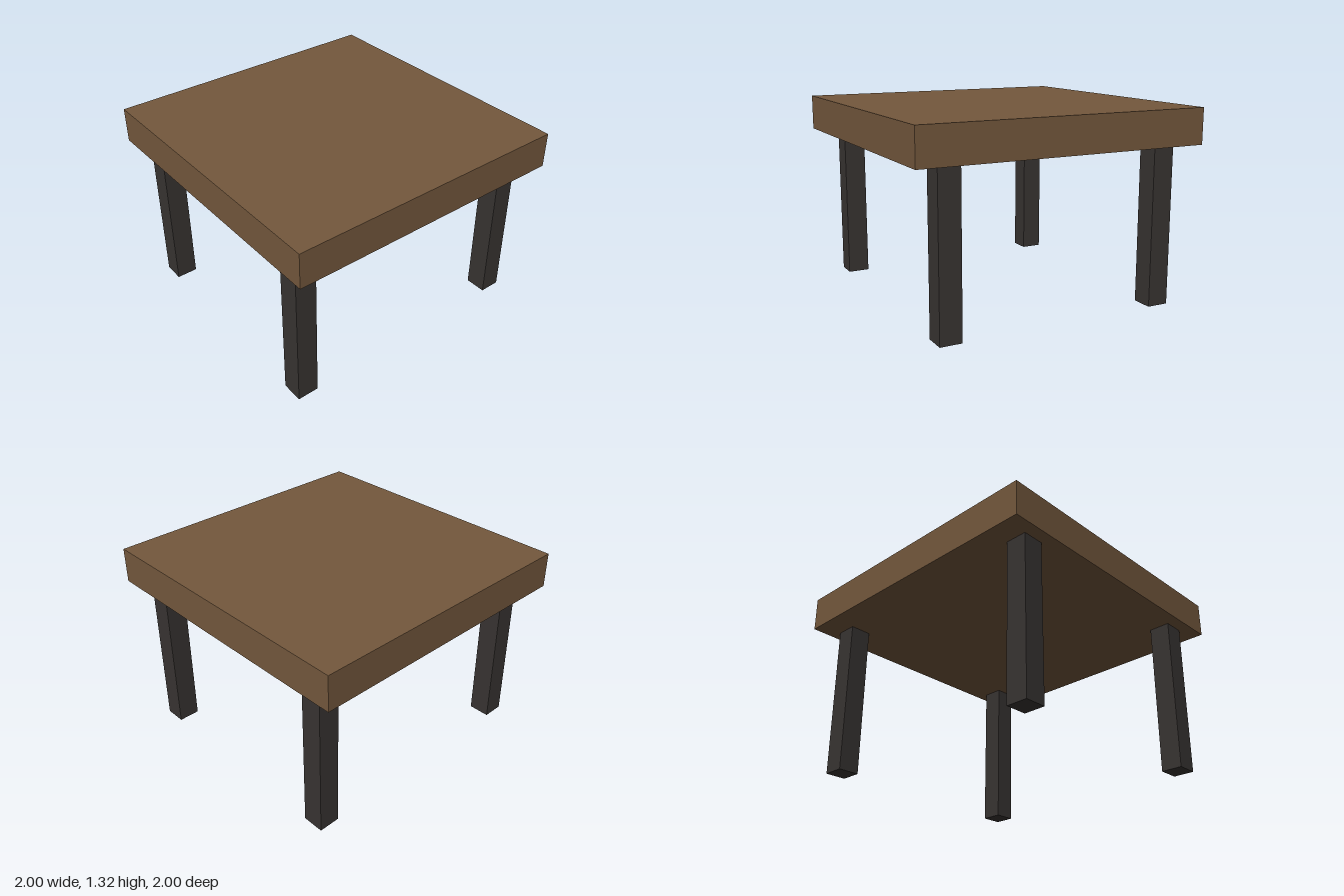
import * as THREE from 'three';

const LEG_HEIGHT = 1.08, LEG_WIDTH = 0.148, TOP_THICKNESS = 0.243;

export function createModel() {
  const table = new THREE.Group();
  table.name = 'table';
  const wood = new THREE.MeshStandardMaterial({ color: 0x74583d });
  const dark = new THREE.MeshStandardMaterial({ color: 0x383432 });

  // Thick square slab
  const top = new THREE.Mesh(new THREE.BoxGeometry(2, TOP_THICKNESS, 2), wood);
  top.name = 'tableTop';
  top.position.y = LEG_HEIGHT + TOP_THICKNESS / 2;
  table.add(top);

  // Four square legs, set in further from the front and back than from the sides
  const legGeometry = new THREE.BoxGeometry(LEG_WIDTH, LEG_HEIGHT, LEG_WIDTH);
  for (const [end, sz] of [['front', 1], ['back', -1]]) {
    for (const [side, sx] of [['Left', 1], ['Right', -1]]) {
      const leg = new THREE.Mesh(legGeometry, dark);
      leg.name = `${end}${side}Leg`;
      leg.position.set(sx * 0.84, LEG_HEIGHT / 2, sz * 0.76);
      table.add(leg);
    }
  }
  return table;
}
